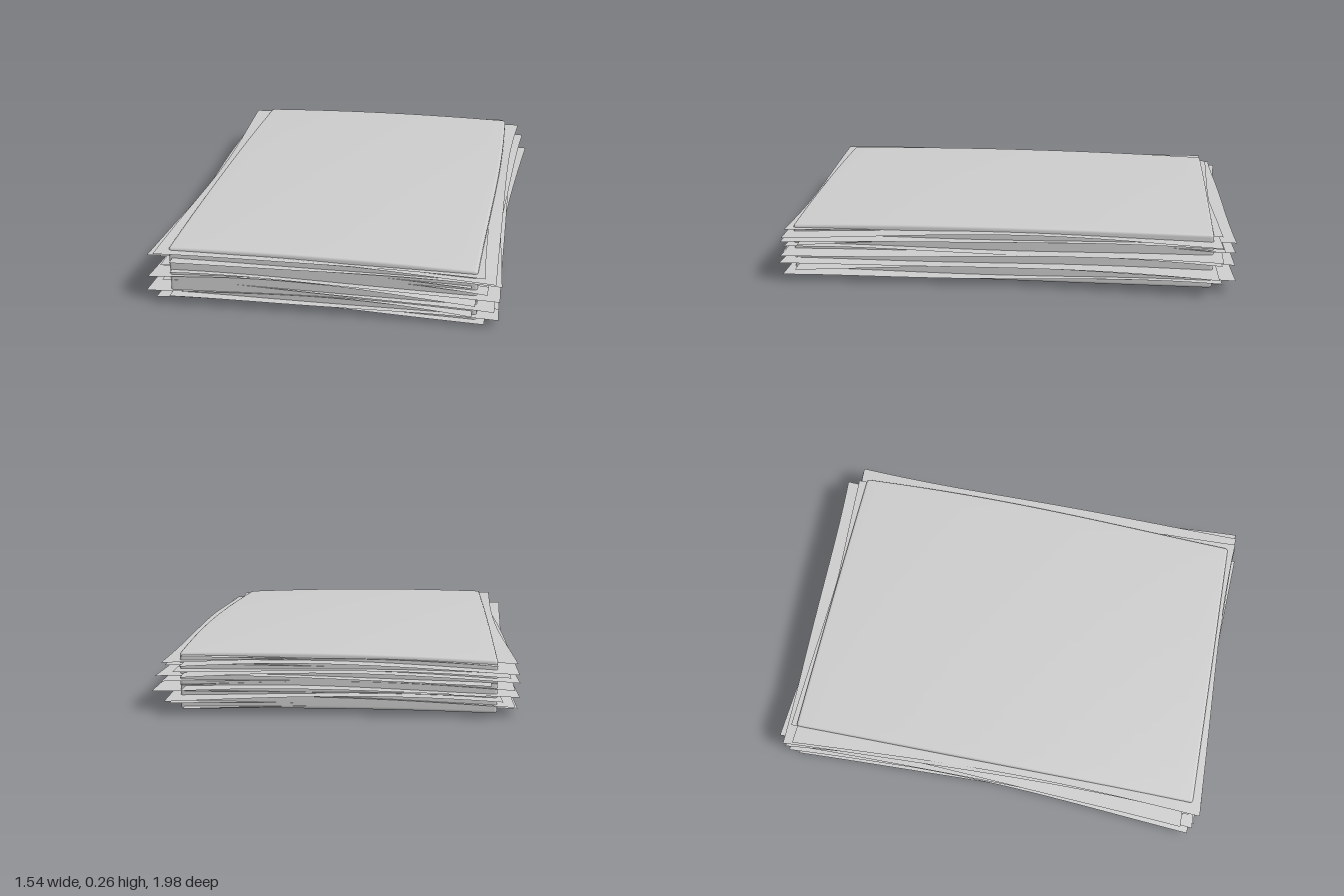
import * as THREE from 'three';
import { mergeVertices } from 'three/addons/utils/BufferGeometryUtils.js';

const HALF = { x: 0.65, y: 1, z: 0.92 };

// Gently domed height inside the stack: t = 0 is the underside, t = 1 the top.
function stackHeight(x, z, t) {
  const u = x / HALF.x, v = z / HALF.z;
  const bottom = 0.022 - 0.01 * u * u - 0.008 * v * v - 0.004 * u;
  const top = 0.265 - 0.012 * u * u - 0.016 * v * v - 0.006 * u * v;
  return THREE.MathUtils.lerp(bottom, top, t);
}

function bend(geometry, rule) {
  const p = geometry.attributes.position, v = new THREE.Vector3();
  for (let i = 0; i < p.count; i++) {
    v.fromBufferAttribute(p, i);
    rule(v);
    p.setXYZ(i, v.x, v.y, v.z);
  }
  geometry.computeVertexNormals();
  return geometry;
}

// Solid block of aligned pages with softly rounded edges.
function createBlock(material) {
  const segments = { x: 24, y: 10, z: 28 }, radius = 0.014;
  const half = { x: HALF.x, y: 0.122, z: HALF.z };
  let geometry = new THREE.BoxGeometry(2, 2, 2, segments.x, segments.y, segments.z);
  geometry.deleteAttribute('uv');
  geometry.deleteAttribute('normal');
  geometry = mergeVertices(geometry);
  bend(geometry, (v) => {
    // The two outer rings of each axis form the rounded edge.
    const core = new THREE.Vector3(), out = new THREE.Vector3();
    for (const a of ['x', 'y', 'z']) {
      const n = segments[a] / 2, k = Math.abs(v[a]) * n, s = Math.sign(v[a]);
      core[a] = s * Math.min(1, k / (n - 2)) * (half[a] - radius);
      out[a] = s * Math.max(0, (k - n + 2) / 2);
    }
    const reach = Math.max(Math.abs(out.x), Math.abs(out.y), Math.abs(out.z));
    if (reach > 0) out.setLength(radius * reach);
    v.copy(core).add(out);
    const t = (v.y / half.y + 1) / 2, u = v.x / HALF.x, w = v.z / HALF.z;
    v.y = stackHeight(v.x, v.z, t);
    // Slightly skewed outline, bulging on one side.
    v.x += 0.014 * Math.max(0, u) * Math.cos((w + 0.35) * 2) - 0.004 * w;
    v.z += 0.02 + 0.012 * u * (w < 0 ? -w : -0.3 * w);
  });
  const mesh = new THREE.Mesh(geometry, material);
  mesh.name = 'pageBlock';
  return mesh;
}

// One loose page with flared corners and rippled edges.
function createSheet([t, dx, dz, turn], index, material) {
  const geometry = new THREE.PlaneGeometry(2, 2, 20, 26).rotateX(-Math.PI / 2);
  bend(geometry, (v) => {
    const u = v.x, w = v.z;
    const x = u * (0.664 + 0.022 * w * w), z = w * (0.93 + 0.018 * u * u);
    v.x = x + turn * z + dx + 0.006 * Math.sin(w * 3 + index) * u * u;
    v.z = z - turn * x + dz + 0.005 * Math.sin(u * 3 + index * 2) * w * w;
    const edge = Math.max(Math.abs(u), Math.abs(w)) ** 4;
    const ripple = Math.sin(u * 2.2 + w * 3.1 + index * 1.9);
    v.y = Math.max(0.003, stackHeight(v.x, v.z, t) + 0.008 * edge * ripple);
  });
  const mesh = new THREE.Mesh(geometry, material);
  mesh.name = `looseSheet${index + 1}`;
  return mesh;
}

export function createModel() {
  const group = new THREE.Group();
  group.name = 'paperStack';
  const material = new THREE.MeshStandardMaterial({ color: 0xcccccc });
  const paper = new THREE.MeshStandardMaterial({ color: 0xcccccc, side: THREE.DoubleSide });
  group.add(createBlock(material));

  // Height in the stack, sideways shift, lengthwise shift, turn.
  const sheets = [
    [0.08, -0.03, 0.03, 0.012],
    [0.13, 0.03, 0.035, 0.015],
    [0.2, -0.045, 0.02, -0.02],
    [0.28, 0.03, -0.03, 0.01],
    [0.34, 0.05, 0.02, -0.035],
    [0.4, -0.03, -0.02, 0.025],
    [0.47, -0.045, 0.03, -0.015],
    [0.54, 0.045, 0.03, 0.0],
    [0.6, 0.035, -0.005, -0.04],
    [0.67, -0.025, -0.025, 0.022],
    [0.73, -0.045, -0.01, -0.035],
    [0.79, 0.03, 0.03, 0.012],
    [0.84, -0.03, -0.03, 0.018],
    [0.89, 0.035, 0.02, -0.01],
    [0.93, -0.025, 0.03, 0.01],
  ];
  sheets.forEach((sheet, i) => group.add(createSheet(sheet, i, paper)));
  return group;
}
